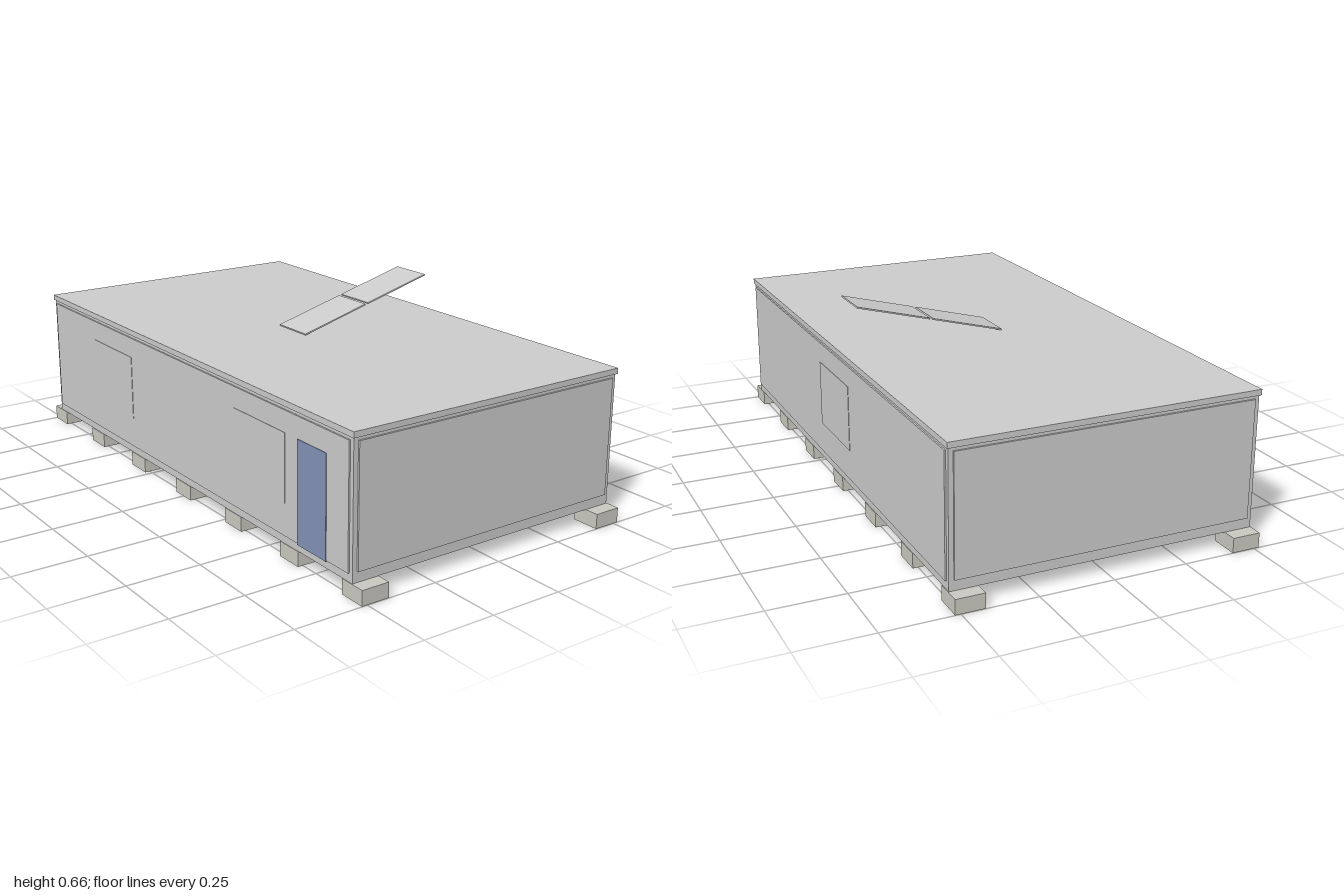
import * as THREE from 'three';

const grey = new THREE.MeshStandardMaterial({ color: 0xcccccc });
const concrete = new THREE.MeshStandardMaterial({ color: 0xcac9c0 });
const boards = new THREE.MeshStandardMaterial({ color: 0xccc4b0 });
const blue = new THREE.MeshStandardMaterial({ color: 0x8291b5 });

export function createModel() {
  const model = new THREE.Group();

  // Box given by its [min, max] range on each axis
  function box(name, [x0, x1], [y0, y1], [z0, z1], material = grey, parent = model) {
    const mesh = new THREE.Mesh(new THREE.BoxGeometry(x1 - x0, y1 - y0, z1 - z0), material);
    mesh.position.set((x0 + x1) / 2, (y0 + y1) / 2, (z0 + z1) / 2);
    mesh.name = name;
    parent.add(mesh);
    return mesh;
  }
  // Range reaching outwards from a to b on the side given by sign s
  const outward = (s, a, b) => (s > 0 ? [a, b] : [-b, -a]);

  // Foundation blocks: seven along each long side
  for (const s of [-1, 1]) {
    for (let i = -3; i <= 3; i++) {
      const x = i * 0.317;
      box('foundationBlock', [x - 0.048, x + 0.048], [0, 0.05], outward(s, 0.422, 0.518), concrete);
    }
  }

  // Floor in two halves, edged by a base frame
  for (const s of [-1, 1]) {
    box('floorHalf', outward(s, 0, 0.938), [0.05, 0.075], [-0.503, 0.503], boards);
    box('longBaseRail', [-0.95, 0.95], [0.05, 0.085], outward(s, 0.503, 0.516));
    box('endBaseRail', outward(s, 0.938, 0.95), [0.05, 0.085], [-0.503, 0.503]);
    box('longTopRail', [-0.95, 0.95], [0.48, 0.491], outward(s, 0.503, 0.516));
    box('endTopRail', outward(s, 0.938, 0.95), [0.48, 0.491], [-0.503, 0.503]);
  }

  // Core of the cabin and its corner posts
  box('cabinCore', [-0.938, 0.938], [0.075, 0.491], [-0.503, 0.503]);
  for (const sx of [-1, 1]) {
    for (const sz of [-1, 1]) {
      box('cornerPost', outward(sx, 0.93, 0.95), [0.085, 0.48], outward(sz, 0.496, 0.516));
    }
  }

  // Wall panels standing slightly proud of the frame
  for (const s of [-1, 1]) {
    box('longWallPanel', [-0.935, 0.935], [0.078, 0.48], outward(s, 0.503, 0.521));
    box('endWallPanel', outward(s, 0.938, 0.956), [0.085, 0.48], [-0.5, 0.5]);
  }

  // Roof slab
  box('roof', [-0.956, 0.956], [0.491, 0.51], [-0.521, 0.521]);

  // Door and windows, almost flush with the walls
  box('door', [0.685, 0.83], [0.075, 0.41], [0.515, 0.523], blue);
  box('frontWindow', [-0.62, -0.335], [0.185, 0.41], [0.515, 0.5225]);
  box('frontWindow', [0.335, 0.62], [0.185, 0.41], [0.515, 0.5225]);
  box('backWindow', [-0.143, 0.143], [0.185, 0.41], [-0.5225, -0.515]);

  // Two tilted panels in a row, rising from the roof towards the back
  const tilted = new THREE.Group();
  tilted.name = 'tiltedRoofPanels';
  tilted.position.set(0, 0.511, 0.066);
  tilted.rotation.x = THREE.MathUtils.degToRad(15);
  for (const start of [0, 0.277]) {
    box('roofPanel', [-0.078, 0.078], [0, 0.005], [-start - 0.266, -start], grey, tilted);
  }
  model.add(tilted);

  return model;
}
